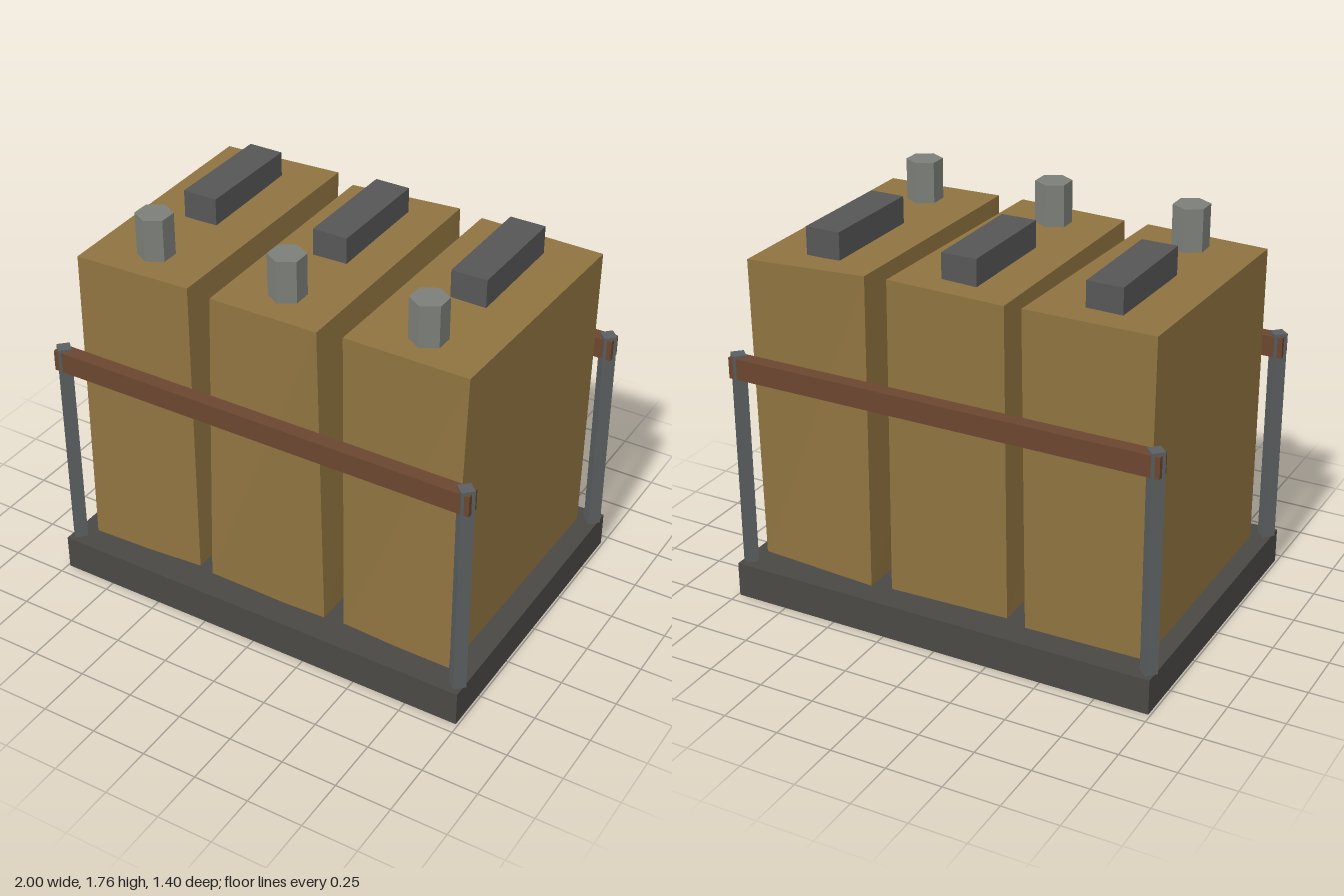
import * as THREE from 'three';

const mat = (color) => new THREE.MeshStandardMaterial({ color, flatShading: true });

export function createModel() {
  const root = new THREE.Group();
  const mats = {
    tray: mat(0x4a4845), can: mat(0x8f7340), handle: mat(0x565656),
    cap: mat(0x7c7f79), post: mat(0x5c5f61), rail: mat(0x6b4630),
  };
  const add = (name, geometry, material, x, y, z) => {
    const mesh = new THREE.Mesh(geometry, material);
    mesh.name = name;
    mesh.position.set(x, y, z);
    root.add(mesh);
    return mesh;
  };

  // Box whose eight corners are moved; order: back left, back right, front right, front left
  const warpedBox = (bottom, top) => {
    const g = new THREE.BoxGeometry(1, 1, 1);
    const p = g.attributes.position;
    for (let i = 0; i < p.count; i++) {
      const right = p.getX(i) > 0, front = p.getZ(i) > 0;
      const corner = front ? (right ? 2 : 3) : (right ? 1 : 0);
      p.setXYZ(i, ...(p.getY(i) > 0 ? top : bottom)[corner]);
    }
    g.computeVertexNormals();
    return g;
  };

  // Base tray
  add('tray', new THREE.BoxGeometry(1.98, 0.16, 1.4), mats.tray, 0, 0.08, 0);

  // Three dented fuel cans, each with a handle and a hexagonal cap
  const cans = [
    {
      x: -0.64,
      bottom: [[-0.91, 0.15, -0.57], [-0.37, 0.16, -0.58], [-0.36, 0.17, 0.565], [-0.905, 0.15, 0.585]],
      top: [[-0.92, 1.58, -0.57], [-0.355, 1.59, -0.59], [-0.37, 1.57, 0.55], [-0.92, 1.555, 0.55]],
    },
    {
      x: 0,
      bottom: [[-0.27, 0.16, -0.55], [0.28, 0.15, -0.57], [0.28, 0.15, 0.57], [-0.28, 0.18, 0.59]],
      top: [[-0.26, 1.57, -0.555], [0.26, 1.59, -0.575], [0.25, 1.575, 0.57], [-0.255, 1.565, 0.56]],
    },
    {
      x: 0.64,
      bottom: [[0.37, 0.16, -0.59], [0.91, 0.185, -0.585], [0.89, 0.17, 0.585], [0.37, 0.15, 0.56]],
      top: [[0.37, 1.58, -0.565], [0.925, 1.56, -0.585], [0.91, 1.575, 0.55], [0.36, 1.58, 0.555]],
    },
  ];
  for (const { x, bottom, top } of cans) {
    add('can', warpedBox(bottom, top), mats.can, 0, 0, 0);
    add('handle', new THREE.BoxGeometry(0.16, 0.125, 0.51), mats.handle, x, 1.633, -0.193);
    add('cap', new THREE.CylinderGeometry(0.08, 0.08, 0.19, 6), mats.cap, x, 1.665, 0.382);
  }

  // Corner posts and the front and back rails
  for (const z of [-0.64, 0.64]) {
    for (const x of [-0.96, 0.96]) {
      add('post', new THREE.CylinderGeometry(0.04, 0.04, 0.99, 4), mats.post, x, 0.655, z);
    }
    add('rail', new THREE.BoxGeometry(1.98, 0.095, 0.064), mats.rail, 0, 1.09, z);
  }
  return root;
}
